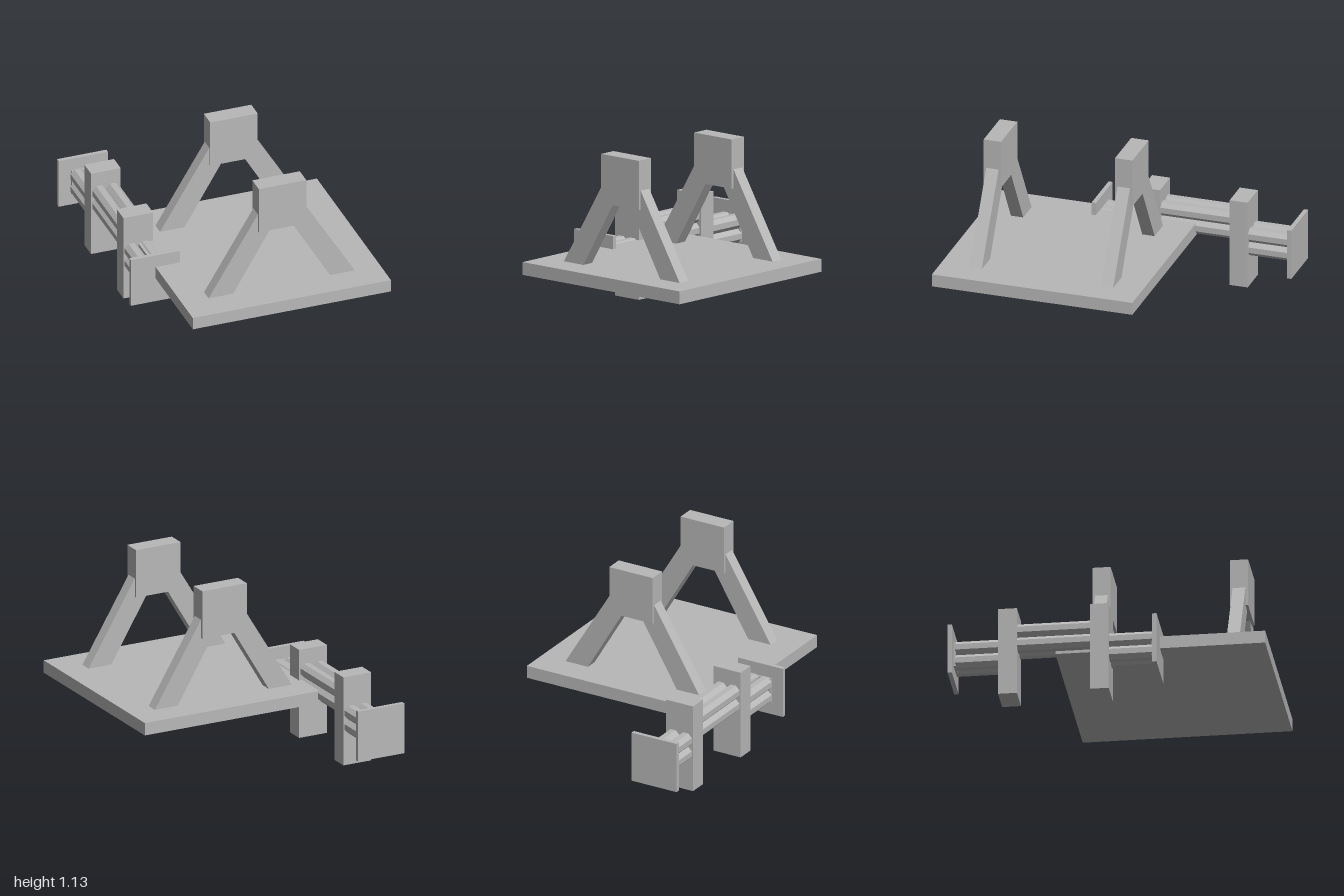
import * as THREE from 'three';

export function createModel() {
  const group = new THREE.Group();
  const grey = new THREE.MeshStandardMaterial({ color: 0xb8b8b8, flatShading: true });
  grey.name = 'grey';

  const add = (name, geometry) => {
    const mesh = new THREE.Mesh(geometry, grey);
    mesh.name = name;
    group.add(mesh);
    return mesh;
  };

  // box given by its limits on each axis
  const box = (name, x0, x1, y0, y1, z0, z1) =>
    add(name, new THREE.BoxGeometry(x1 - x0, y1 - y0, z1 - z0))
      .position.set((x0 + x1) / 2, (y0 + y1) / 2, (z0 + z1) / 2);

  box('basePlate', -0.585, 0.75, 0.302, 0.385, -0.335, 1);

  // two A-shaped stands, each with a head block and a pair of slanted legs
  const middle = 0.085;
  for (const z of [0.767, -0.108]) {
    box('headBlock', middle - 0.16, middle + 0.16, 0.81, 1.128, z - 0.058, z + 0.058);
    for (const side of [-1, 1]) {
      const outline = [[0.495, 0.38], [0.33, 0.38], [0.075, 0.81], [0.16, 0.933]]
        .map(([x, y]) => new THREE.Vector2(middle + side * x, y));
      const leg = new THREE.ExtrudeGeometry(new THREE.Shape(outline), { depth: 0.082, bevelEnabled: false });
      add('standLeg', leg).position.z = z - 0.041;
    }
  }

  // posts carrying the rods
  const axisX = -0.585;
  for (const z of [-0.043, -0.627]) {
    box('rodPost', axisX - 0.1, axisX + 0.1, 0, 0.59, z - 0.06, z + 0.06);
  }

  // end plates with thin inner collars
  box('frontEndPlate', -0.752, -0.42, 0.135, 0.47, 0.302, 0.33);
  box('backEndPlate', -0.752, -0.42, 0.135, 0.47, -1, -0.972);
  box('frontCollar', axisX - 0.083, axisX + 0.083, 0.218, 0.385, 0.288, 0.304);
  box('backCollar', axisX - 0.083, axisX + 0.083, 0.218, 0.385, -0.974, -0.958);

  // bundles of four octagonal rods; the middle bundle sits higher
  const bundle = (name, centreY, z0, z1) => {
    for (const dx of [-0.046, 0.046]) {
      for (const dy of [-0.046, 0.046]) {
        const rod = new THREE.CylinderGeometry(0.049, 0.049, z1 - z0, 8);
        rod.rotateY(Math.PI / 8).rotateX(Math.PI / 2);
        add(name, rod).position.set(axisX + dx, centreY + dy, (z0 + z1) / 2);
      }
    }
  };
  bundle('frontRod', 0.302, -0.02, 0.292);
  bundle('middleRod', 0.4, -0.6, -0.07);
  bundle('backRod', 0.302, -0.962, -0.65);

  return group;
}
